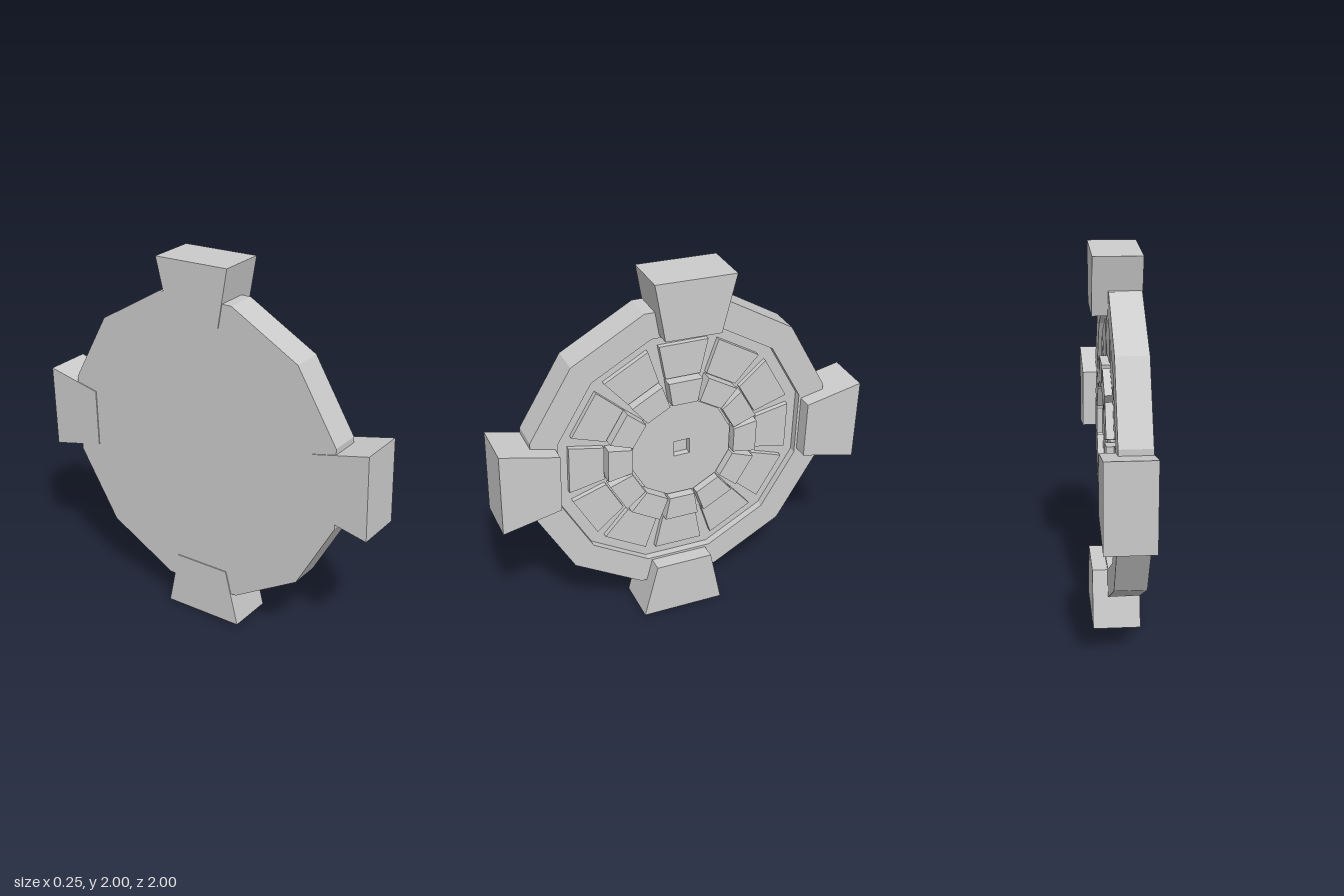
import * as THREE from 'three';

const material = new THREE.MeshStandardMaterial({ color: 0xcccccc, flatShading: true });
const DEG = Math.PI / 180;
const TILT = -1.5 * DEG; // the whole wheel is turned slightly clockwise
const SIDES = 12;

// Corner points of the twelve-sided outline
function ring(radius) {
  return Array.from({ length: SIDES }, (_, i) => {
    const a = ((i + 0.5) * 360 / SIDES) * DEG + TILT;
    return new THREE.Vector2(Math.cos(a) * radius, Math.sin(a) * radius);
  });
}

// Wedge between two distances from the hub, pointing along an angle
function wedge(inner, outer, innerWidth, outerWidth, angle) {
  return [[inner, -innerWidth], [outer, -outerWidth], [outer, outerWidth], [inner, innerWidth]]
    .map(([r, w]) => new THREE.Vector2(r, w / 2).rotateAround(new THREE.Vector2(), angle));
}

// Extrude an outline from one depth to another along the wheel's axis
function slab(name, points, from, to, hole) {
  const shape = new THREE.Shape(points);
  if (hole) shape.holes.push(new THREE.Path(hole));
  const geometry = new THREE.ExtrudeGeometry(shape, { depth: to - from, bevelEnabled: false });
  geometry.translate(0, 0, from);
  const mesh = new THREE.Mesh(geometry, material);
  mesh.name = name;
  return mesh;
}

export function createModel() {
  const wheel = new THREE.Group();
  wheel.name = 'wheel';

  // Back plate and raised outer rim
  wheel.add(slab('backPlate', ring(0.842), -0.12, 0.005));
  wheel.add(slab('rim', ring(0.842), 0.005, 0.045, ring(0.695)));

  // Hub with a small square socket
  const s = 0.044;
  const socket = [[-s, -s], [-s, s], [s, s], [s, -s]].map(([x, y]) => new THREE.Vector2(x, y + 0.005));
  wheel.add(slab('hub', ring(0.282), 0.005, 0.04, socket));

  // Two rings of raised panels
  for (let i = 0; i < SIDES; i++) {
    const a = (i * 360 / SIDES) * DEG + TILT;
    wheel.add(slab('outerPanel', wedge(0.425, 0.612, 0.19, 0.265, a), 0.005, 0.032));
    wheel.add(slab('innerPanel', wedge(0.285, 0.415, 0.14, 0.185, a), 0.005, 0.07));
  }

  // Four flared blocks gripping the rim
  for (let i = 0; i < 4; i++) {
    const top = i === 1;
    const a = i * 90 * DEG + (top ? -2.4 * DEG : TILT);
    wheel.add(slab('clampBlock', wedge(0.685, 0.993, top ? 0.3 : 0.315, top ? 0.43 : 0.455, a), -0.125, 0.125));
  }

  // Stand the wheel upright with its detailed face towards +x
  wheel.rotation.y = Math.PI / 2;
  wheel.position.y = 1;

  const model = new THREE.Group();
  model.name = 'model';
  model.add(wheel);
  return model;
}
